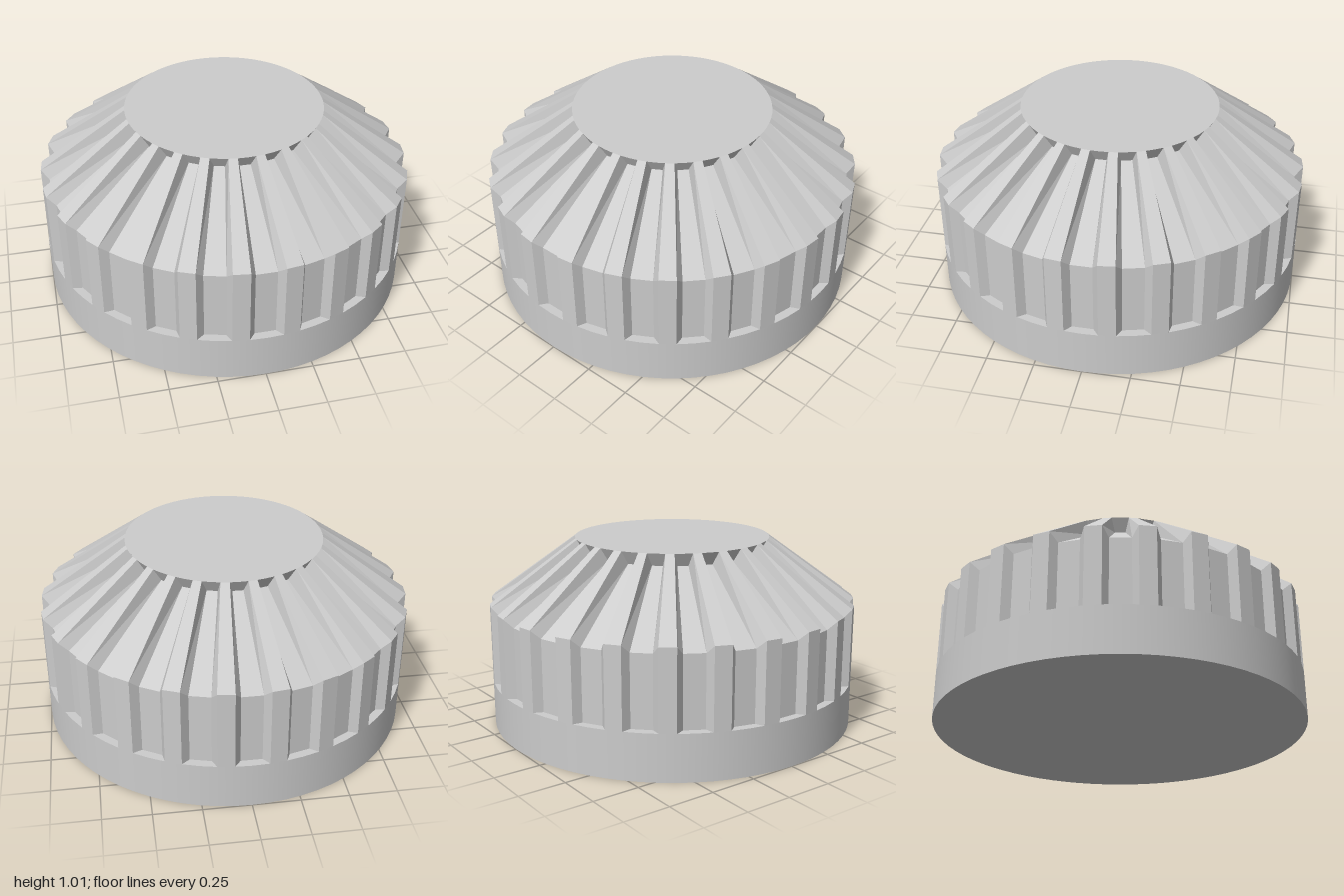
import * as THREE from 'three';
import { mergeGeometries } from 'three/addons/utils/BufferGeometryUtils.js';

const COUNT = 24;               // grooves around the cap
const HALF = Math.PI / 36;      // half angle of a groove, 5 degrees
const LEDGE = 0.25, SHOULDER = 0.675, TOP = 1.015, TOP_R = 0.53;

const polar = (angle, r, y) => [Math.sin(angle) * r, y, Math.cos(angle) * r];

// Flat-shaded geometry from four-cornered faces, counter-clockwise from outside
function fromQuads(quads) {
  const pos = quads.flatMap(([a, b, c, d]) => [a, b, c, a, c, d].flat());
  const g = new THREE.BufferGeometry();
  g.setAttribute('position', new THREE.Float32BufferAttribute(pos, 3));
  g.computeVertexNormals();
  return g;
}

// Repeat one sector all the way round
function around(sector) {
  const copies = [];
  for (let i = 0; i < COUNT; i++) copies.push(sector.clone().rotateY((i * 2 * Math.PI) / COUNT));
  return mergeGeometries(copies);
}

// Corners down one edge of a groove, on the outer skin
const rim = (angle) => [polar(angle, 1, LEDGE), polar(angle, 1, SHOULDER), polar(angle, TOP_R, TOP)];
// Matching corners on the sunken floor
const floor = (s) => [[s * 0.055, LEDGE, 0.955], [s * 0.055, 0.63, 0.955], [s * 0.028, 0.945, 0.49]];

function grooveSector() {
  const [A, B, C] = rim(HALF), [A2, B2, C2] = rim(-HALF);
  const [a, b, c] = floor(1), [a2, b2, c2] = floor(-1);
  return fromQuads([
    [a2, a, b, b2], [b2, b, c, c2],       // upright and sloping floor
    [c2, c, C, C2],                       // undercut end below the top disc
    [a, A, B, b], [b, B, C, c],           // side walls
    [A2, a2, b2, B2], [B2, b2, c2, C2],
  ]);
}

function ribSector() {
  const [A, B, C] = rim(HALF), [D, E, F] = rim(2 * HALF);
  return fromQuads([[A, D, E, B], [B, E, F, C]]);
}

export function createModel() {
  const model = new THREE.Group();
  model.name = 'ribbedCap';
  const grey = new THREE.MeshStandardMaterial({ color: 0xcccccc });
  grey.name = 'light grey';

  const add = (name, geometry) => {
    const mesh = new THREE.Mesh(geometry, grey);
    mesh.name = name;
    model.add(mesh);
    return mesh;
  };

  // Smooth round base whose top forms the ledges in the grooves
  add('baseRing', new THREE.CylinderGeometry(1, 1, LEDGE, 72).translate(0, LEDGE / 2, 0));
  add('grooves', around(grooveSector()));
  add('ribs', around(ribSector()));
  add('topDisc', new THREE.CircleGeometry(TOP_R, 72).rotateX(-Math.PI / 2).translate(0, TOP, 0));
  return model;
}
